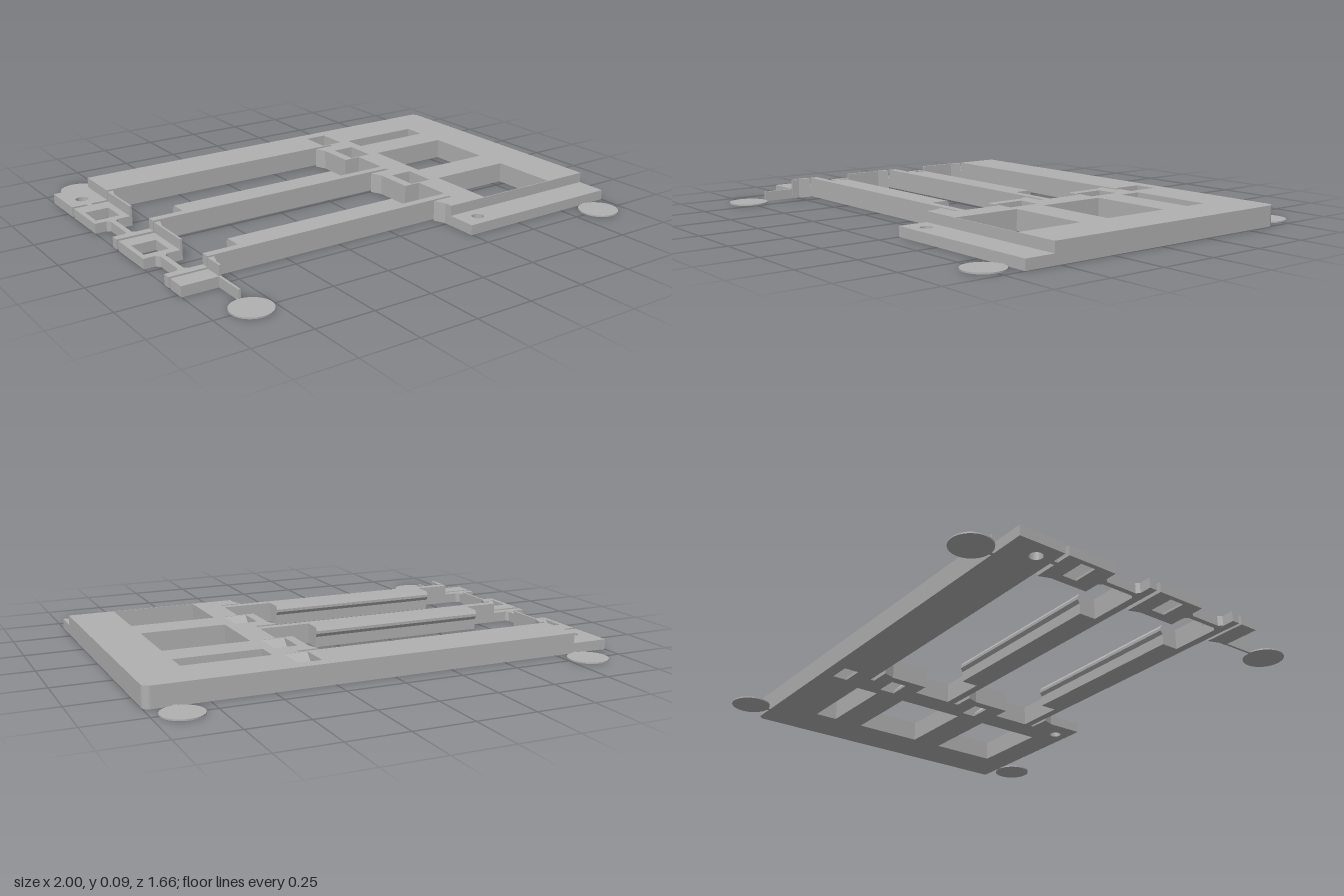
import * as THREE from 'three';

const HIGH = 0.087, LOW = 0.043, THIN = 0.006;

export function createModel() {
  const group = new THREE.Group();
  const grey = new THREE.MeshStandardMaterial({ color: 0xb0b0b0 });
  grey.name = 'grey plastic';

  const add = (name, geometry) => {
    const mesh = new THREE.Mesh(geometry, grey);
    mesh.name = name;
    group.add(mesh);
    return mesh;
  };
  const polygon = (pts) => new THREE.Shape(pts.map(([a, b]) => new THREE.Vector2(a, b)));
  const rect = (x0, x1, z0, z1) => polygon([[x0, z0], [x1, z0], [x1, z1], [x0, z1]]);
  const circle = (x, z, r) => {
    const path = new THREE.Path();
    path.absarc(x, z, r, 0, Math.PI * 2, true);
    return path;
  };
  // Plan outline in (x, z), raised from the ground to height h
  const plate = (name, shape, h, holes = []) => {
    shape.holes.push(...holes);
    const g = new THREE.ExtrudeGeometry(shape, { depth: h, bevelEnabled: false, curveSegments: 16 });
    return add(name, g.rotateX(Math.PI / 2).translate(0, h, 0));
  };
  // Cross-section in (z, y), run from x0 to x1
  const prism = (name, pts, x0, x1) => {
    const g = new THREE.ExtrudeGeometry(polygon(pts), { depth: x1 - x0, bevelEnabled: false });
    return add(name, g.rotateY(-Math.PI / 2).translate(x1, 0, 0));
  };
  const bar = (name, x0, x1, z0, z1, h) => plate(name, rect(x0, x1, z0, z1), h);

  // Full-height frame with flared clip jaws and openings
  const frame = new THREE.Shape();
  frame.moveTo(-0.84, -0.66);
  frame.lineTo(0.97, -0.66);
  frame.absarc(0.97, -0.63, 0.03, -Math.PI / 2, 0, false);
  frame.lineTo(1, 0.525);
  frame.lineTo(0.245, 0.525);
  const jaw = (z0) => {
    frame.lineTo(0.245, z0 + 0.05);
    frame.lineTo(0.225, z0);
    frame.lineTo(0.32, z0);
  };
  jaw(0.44);
  for (const [z0, z1] of [[0.002, 0.222], [-0.44, -0.223]]) {
    frame.lineTo(0.32, z1);
    frame.lineTo(0.245, z1);
    jaw(z0);
  }
  frame.lineTo(0.32, -0.458);
  frame.lineTo(-0.84, -0.458);
  frame.closePath();
  const pockets = [[-0.605, -0.54, -0.465], [-0.37, -0.3, -0.23], [0.075, 0.14, 0.215]];
  plate('mainFrame', frame, HIGH, [
    rect(0.43, 0.8, -0.46, -0.36),
    rect(0.43, 0.8, -0.225, 0.08),
    rect(0.43, 0.8, 0.22, 0.521),
    ...pockets.map(([z0, , z1]) => rect(0.285, 0.385, z0, z1)),
  ]);
  // Sloping ramps in the frame pockets
  for (const [, z0, z1] of pockets) {
    prism('pocketRamp', [[z0, 0], [z1, 0], [z1, HIGH - 0.001], [z0, 0.012]], 0.285, 0.385);
  }

  // Lower steps with screw holes
  plate('frontStep', rect(0.245, 1, 0.525, 0.656), LOW, [circle(0.335, 0.59, 0.026)]);
  plate('backStep', rect(-1, -0.84, -0.66, -0.458), LOW, [circle(-0.925, -0.53, 0.027)]);

  // Low side clips with windows, ramps and flared fins
  for (const [z0, z1] of [[-0.44, -0.223], [0.002, 0.22], [0.44, 0.523]]) {
    const open = z1 - z0 > 0.1;
    const w = z0 + 0.072;
    plate('sideClip', rect(-1, -0.84, z0, z1), LOW, open ? [rect(-0.98, -0.875, w, w + 0.11)] : []);
    if (open) {
      prism('clipRamp', [[w + 0.065, 0], [w + 0.11, 0], [w + 0.11, LOW - 0.001], [w + 0.065, 0.01]], -0.98, -0.875);
    }
    plate('clipFin', polygon([[-0.845, z0], [-0.818, z0], [-0.835, z0 + 0.05],
      [-0.835, z1], [-0.845, z1]]), HIGH);
  }

  // Narrow links between the clips
  bar('linkNeck', -0.935, -0.915, -0.458, -0.44, LOW);
  for (const [z0, z1] of [[-0.223, -0.05], [0.22, 0.39]]) {
    plate('link', polygon([[-0.95, z0], [-0.9, z0], [-0.914, z0 + 0.015], [-0.914, z1 - 0.015],
      [-0.9, z1], [-0.95, z1], [-0.936, z1 - 0.015], [-0.936, z0 + 0.015]]), LOW);
  }

  // Cross arms with a thick middle and a lipped back edge
  for (const z of [-0.017, 0.426]) {
    bar('armEnd', -1, -0.84, z - 0.035, z, LOW);
    bar('arm', -0.84, 0.32, z - 0.035, z, HIGH);
    const b = z - 0.12;
    prism('armPad', [[z - 0.034, 0], [b + 0.01, 0], [b + 0.01, 0.045], [b, 0.06], [b, 0.072],
      [b + 0.01, HIGH], [z - 0.034, HIGH]], -0.69, 0.097);
  }

  // Thin corner discs and their tabs
  for (const x of [-0.843, 0.885]) {
    for (const z of [-0.752, 0.744]) {
      const disc = add('cornerDisc', new THREE.CylinderGeometry(0.084, 0.084, THIN, 48));
      disc.position.set(x, THIN / 2, z);
      const s = Math.sign(z);
      bar('discTab', x - 0.008, x + 0.008, Math.min(s * 0.655, s * 0.68), Math.max(s * 0.655, s * 0.68), THIN);
    }
  }
  bar('discStrut', -0.847, -0.837, 0.523, 0.662, LOW);

  return group;
}
